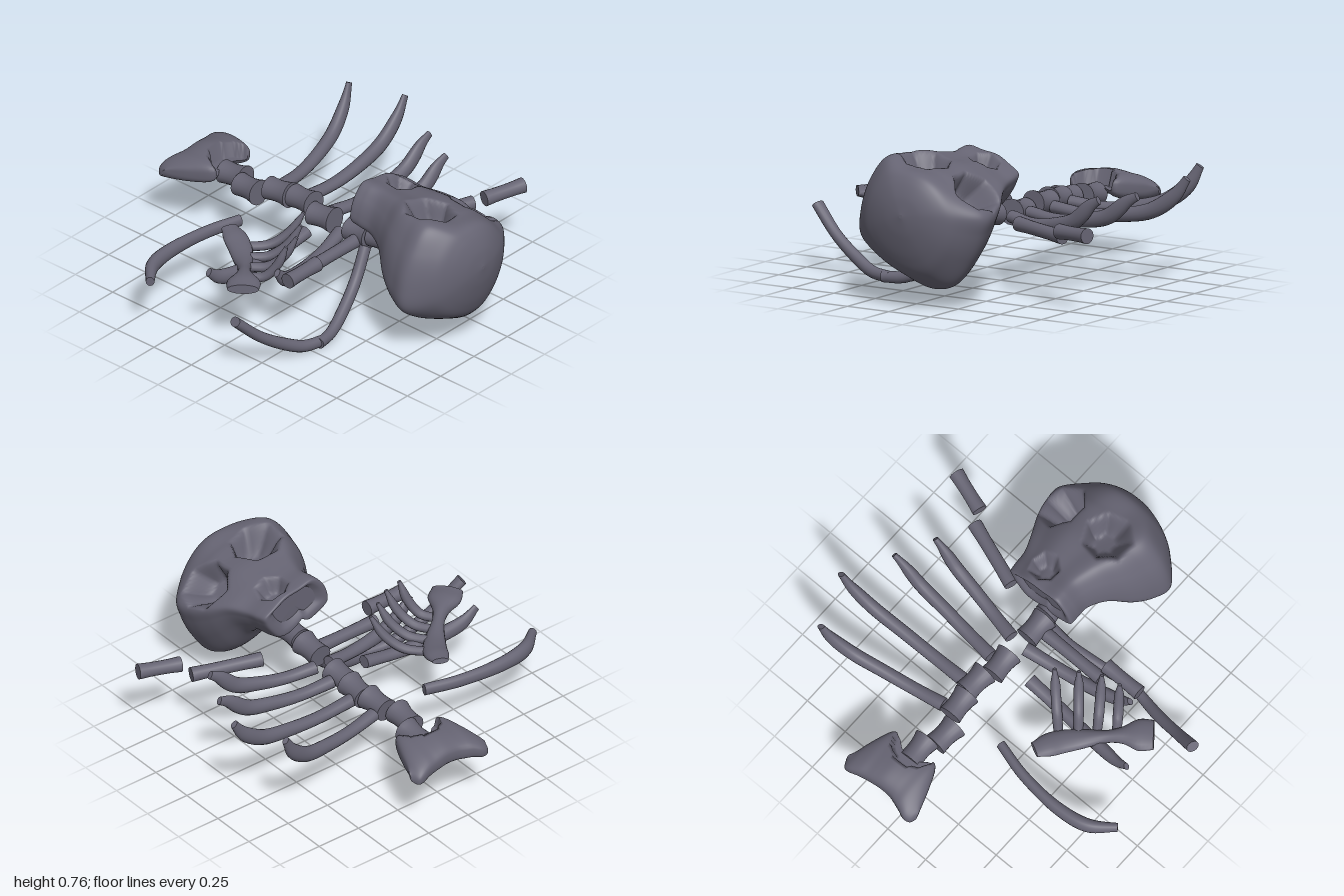
import * as THREE from 'three';

const V = (x, y, z) => new THREE.Vector3(x, y, z);
const material = new THREE.MeshStandardMaterial({ color: 0x666473 });

// Skin a list of rings (each counter-clockwise about the travel direction) with crisp end caps
function loft(rings) {
  const pos = [], idx = [], n = rings[0].length;
  const add = (p) => pos.push(p.x, p.y, p.z) / 3 - 1;
  rings.forEach((r) => r.forEach(add));
  for (let i = 0; i < rings.length - 1; i++) {
    for (let j = 0; j < n; j++) {
      const a = i * n + j, b = i * n + (j + 1) % n;
      idx.push(a, b, a + n, b, b + n, a + n);
    }
  }
  [rings[0], rings[rings.length - 1]].forEach((r, end) => {
    const mid = r.reduce((s, p) => s.add(p), V(0, 0, 0)).divideScalar(n);
    const c = add(mid), first = c + 1;
    r.forEach(add);
    for (let j = 0; j < n; j++) {
      const a = first + j, b = first + (j + 1) % n;
      if (end) idx.push(c, a, b); else idx.push(c, b, a);
    }
  });
  const g = new THREE.BufferGeometry();
  g.setAttribute('position', new THREE.Float32BufferAttribute(pos, 3));
  g.setIndex(idx);
  g.computeVertexNormals();
  return g;
}

// Bone along a smooth path; radii is a list of [width, height] spread along its length
function bone(path, radii, steps = 20, sides = 16) {
  const curve = new THREE.CatmullRomCurve3(path.map((p) => V(...p)));
  const size = new THREE.SplineCurve(radii.map((r) => new THREE.Vector2(...r)));
  const rings = [];
  for (let i = 0; i <= steps; i++) {
    const t = i / steps, c = curve.getPointAt(t), dir = curve.getTangentAt(t), s = size.getPoint(t);
    const side = dir.clone().cross(V(0, 1, 0)).normalize();
    const nrm = dir.clone().cross(side);
    rings.push(Array.from({ length: sides }, (_, j) => {
      const a = j / sides * Math.PI * 2;
      return c.clone().addScaledVector(side, s.x * Math.cos(a)).addScaledVector(nrm, s.y * Math.sin(a));
    }));
  }
  return loft(rings);
}

// One spline per column of a section table, against its first column
const tracks = (sections) => [1, 2, 3, 4].map((k) =>
  new THREE.SplineCurve(sections.map((s) => new THREE.Vector2(s[0], s[k]))));

// Cranium lofted along z, rolled toward +x, with eye, nose and palate hollows pushed in
function skullGeometry() {
  const outline = new THREE.CatmullRomCurve3([
    [0.43, 0.5], [0.33, 0.595], [0.2, 0.69], [0.04, 0.725], [-0.12, 0.76], [-0.23, 0.64], [-0.29, 0.47], [-0.29, 0.34],
    [-0.19, 0.25], [-0.03, 0.17], [0.13, 0.11], [0.24, 0.13], [0.35, 0.27], [0.41, 0.4],
  ].map(([x, y]) => V((x + 0.3) / 0.73, (y - 0.11) / 0.65, 0)), true);
  // z, x min, x max, y min, y max
  const track = tracks([
    [0.285, -0.04, 0.23, 0.53, 0.7], [0.265, -0.08, 0.26, 0.5, 0.72], [0.27, -0.11, 0.29, 0.46, 0.74],
    [0.32, -0.11, 0.3, 0.44, 0.74], [0.4, -0.11, 0.31, 0.42, 0.73], [0.5, -0.16, 0.35, 0.37, 0.74],
    [0.6, -0.24, 0.4, 0.23, 0.76], [0.7, -0.29, 0.43, 0.14, 0.76], [0.8, -0.31, 0.43, 0.11, 0.76],
    [0.9, -0.22, 0.34, 0.18, 0.73], [0.95, -0.14, 0.27, 0.27, 0.68], [0.985, -0.04, 0.18, 0.39, 0.6],
    [1, 0.06, 0.08, 0.49, 0.51],
  ]);
  // Hollows: centre, radius, push
  const hollows = [
    [V(0.01, 0.73, 0.69), 0.14, V(0.02, -0.14, 0)], [V(0.33, 0.61, 0.7), 0.14, V(-0.11, -0.09, 0)],
    [V(0.16, 0.7, 0.375), 0.088, V(-0.015, -0.08, 0)], [V(0.08, 0.46, 0.4), 0.17, V(0.02, 0.12, 0.02)],
  ];
  const rings = [], steps = 120, sides = 144;
  for (let i = 0; i <= steps; i++) {
    const [x0, x1, y0, y1] = track.map((c) => c.getPoint(i / steps).y);
    const z = track[0].getPoint(i / steps).x;
    const round = 0.8 * THREE.MathUtils.smoothstep(z, 0.8, 0.96);
    rings.push(Array.from({ length: sides }, (_, j) => {
      const o = outline.getPoint(j / sides).clone();
      // The sections turn oval toward the crown
      const a = Math.atan2(o.y - 0.5, o.x - 0.5);
      o.lerp(V(0.5 + Math.cos(a) / 2, 0.5 + Math.sin(a) / 2, 0), round);
      const p = V(x0 + o.x * (x1 - x0), y0 + o.y * (y1 - y0), z);
      const shift = V(0, 0, 0);
      hollows.forEach(([c, r, push]) => {
        // Angular, seven-sided rims
        const turn = Math.atan2(p.z - c.z, p.x - c.x) + Math.PI * 2, sector = Math.PI * 2 / 7;
        const rim = r * 0.94 / Math.cos(turn % sector - sector / 2);
        shift.addScaledVector(push, THREE.MathUtils.smoothstep(rim - p.distanceTo(c), 0, r * 0.6));
      });
      return p.add(shift);
    }));
  }
  return loft(rings);
}

// Pelvis lofted across x: x, back z, front z, centre y, half height
function pelvisGeometry() {
  const track = tracks([
    [-0.15, -0.96, -0.94, 0.35, 0.01], [-0.135, -0.99, -0.9, 0.35, 0.03], [-0.1, -1, -0.8, 0.36, 0.05],
    [-0.055, -0.985, -0.7, 0.375, 0.062], [-0.01, -0.97, -0.7, 0.38, 0.065], [0.03, -0.96, -0.73, 0.385, 0.065],
    [0.09, -0.96, -0.74, 0.39, 0.065], [0.14, -0.965, -0.73, 0.385, 0.065], [0.18, -0.97, -0.7, 0.38, 0.065],
    [0.225, -0.98, -0.7, 0.375, 0.062], [0.27, -0.99, -0.8, 0.36, 0.05], [0.3, -0.985, -0.89, 0.35, 0.03],
    [0.32, -0.95, -0.93, 0.35, 0.01],
  ]);
  const rings = [];
  for (let i = 0; i <= 56; i++) {
    const [z0, z1, cy, h] = track.map((c) => c.getPoint(i / 56).y);
    const x = track[0].getPoint(i / 56).x;
    rings.push(Array.from({ length: 40 }, (_, j) => {
      const a = j / 40 * Math.PI * 2, s = Math.sin(a), c = Math.cos(a);
      const z = (z0 + z1) / 2 + s * (z1 - z0) / 2;
      // Full-edged section, rising toward the front of its depth
      const y = cy + h * Math.sign(c) * Math.abs(c) ** 0.65 + 0.015 * s;
      // Arched step in the front where the spine meets it
      const arch = Math.hypot(x - 0.085, z + 0.69) < 0.115;
      return V(x, arch ? Math.min(y, 0.375) : y, z);
    }));
  }
  return loft(rings);
}

export function createModel() {
  const group = new THREE.Group();
  const add = (name, geometry) => {
    const mesh = new THREE.Mesh(geometry, material);
    mesh.name = name;
    group.add(mesh);
  };
  add('skull', skullGeometry());
  add('pelvis', pelvisGeometry());

  // Spine: x, y, z, sideways lean
  [[0.06, 0.4, 0.34, 0], [0.055, 0.38, 0.19, 0], [0.065, 0.36, -0.065, 0.004], [0.095, 0.38, -0.225, -0.004],
    [0.08, 0.375, -0.37, 0.004], [0.03, 0.35, -0.53, -0.005], [0.08, 0.345, -0.675, 0.003]].forEach(([x, y, z, lean], i) => {
    add('vertebra' + (i + 1), bone([[x - lean, y - 0.005, z - 0.07], [x, y, z], [x + lean, y + 0.005, z + 0.07]],
      [[0.063, 0.06], [0.059, 0.056], [0.058, 0.055], [0.062, 0.059], [0.07, 0.067]], 12, 20));
  });

  // Ribs still in place on the left: root, then tip
  const ribSize = [[0.037, 0.032], [0.034, 0.03], [0.034, 0.032], [0.034, 0.037], [0.034, 0.041], [0.029, 0.04], [0.014, 0.022]];
  [[0.14, -0.415, 0.83, -0.57, 0.59], [0.15, -0.25, 0.94, -0.29, 0.58], [0.13, -0.065, 0.82, -0.02, 0.52],
    [0.12, 0.08, 0.72, 0.18, 0.52]].forEach(([x0, z0, x1, z1, tip], i) => {
    const at = (t, y) => [x0 + (x1 - x0) * t, y, z0 + (z1 - z0) * t + 0.015 * Math.sin(t * Math.PI)];
    add('leftRib' + (i + 1), bone([at(0, 0.36), at(0.25, 0.345), at(0.5, 0.36), at(0.73, 0.4), at(0.9, 0.49), at(0.985, tip)], ribSize, 28));
  });

  // Ribs on the right, one of them fallen away
  add('rightRib1', bone([[-0.1, 0.36, -0.035], [-0.3, 0.33, -0.04], [-0.55, 0.33, -0.06], [-0.7, 0.36, -0.075], [-0.78, 0.42, -0.08]], ribSize, 28));
  add('rightRib2', bone([[0.03, 0.35, 0.08], [-0.15, 0.32, 0.115], [-0.35, 0.32, 0.15], [-0.5, 0.36, 0.18], [-0.57, 0.43, 0.19]], ribSize, 28));
  add('looseRib', bone([[-0.21, 0.335, -0.38], [-0.4, 0.335, -0.43], [-0.65, 0.335, -0.45], [-0.82, 0.335, -0.42], [-0.94, 0.335, -0.33]],
    [[0.024, 0.032], [0.026, 0.034], [0.028, 0.036], [0.032, 0.04], [0.034, 0.042], [0.022, 0.025]], 28));

  // Breastbone, flared at both ends, with four upturned spurs
  add('breastbone', bone([[-0.77, 0.405, 0.14], [-0.66, 0.39, 0.05], [-0.52, 0.36, -0.08], [-0.43, 0.37, -0.19], [-0.37, 0.4, -0.31]],
    [[0.08, 0.025], [0.085, 0.038], [0.045, 0.038], [0.032, 0.034], [0.042, 0.034], [0.055, 0.032], [0.062, 0.032], [0.062, 0.03], [0.042, 0.015]], 32));
  [[-0.4, -0.16, -0.2, 0.04], [-0.47, -0.09, -0.3, 0.11], [-0.54, -0.03, -0.4, 0.17], [-0.61, 0.04, -0.5, 0.19]].forEach(([x0, z0, x1, z1], i) => {
    const at = (t, y) => [x0 + (x1 - x0) * t, y, z0 + (z1 - z0) * t];
    add('breastboneSpur' + (i + 1), bone([at(0, 0.36), at(0.4, 0.37), at(0.75, 0.44), at(1, 0.55)],
      [[0.023, 0.023], [0.026, 0.024], [0.026, 0.024], [0.024, 0.022], [0.01, 0.01]], 16, 12));
  });

  // Lower jaw: two arms meeting at the chin
  add('lowerJawLeft', bone([[0.02, 0.34, 0.255], [-0.08, 0.2, 0.28], [-0.22, 0.1, 0.32], [-0.35, 0.045, 0.355], [-0.46, 0.04, 0.375]],
    [[0.03, 0.03], [0.03, 0.032], [0.03, 0.032], [0.026, 0.03]]));
  add('lowerJawRight', bone([[-0.94, 0.335, 0.24], [-0.8, 0.2, 0.28], [-0.65, 0.1, 0.315], [-0.54, 0.05, 0.345], [-0.42, 0.04, 0.37]],
    [[0.034, 0.026], [0.03, 0.028], [0.03, 0.032], [0.026, 0.03]]));

  // Limb bones with slightly swollen ends
  const limb = (name, a, b, r) => add(name, bone([a, a.map((v, k) => (v + b[k]) / 2), b],
    [[r, r], [r * 0.92, r * 0.92], [r * 0.9, r * 0.9], [r * 0.92, r * 0.92], [r, r]], 12));
  limb('leftUpperArm', [0.3, 0.375, 0.285], [0.65, 0.365, 0.41], 0.038);
  limb('leftForearm', [0.67, 0.405, 0.47], [0.885, 0.415, 0.54], 0.04);
  limb('rightUpperArm', [0.0, 0.36, 0.205], [-0.36, 0.36, 0.205], 0.036);
  limb('rightForearm', [-0.35, 0.41, 0.26], [-0.57, 0.41, 0.26], 0.04);
  return group;
}
